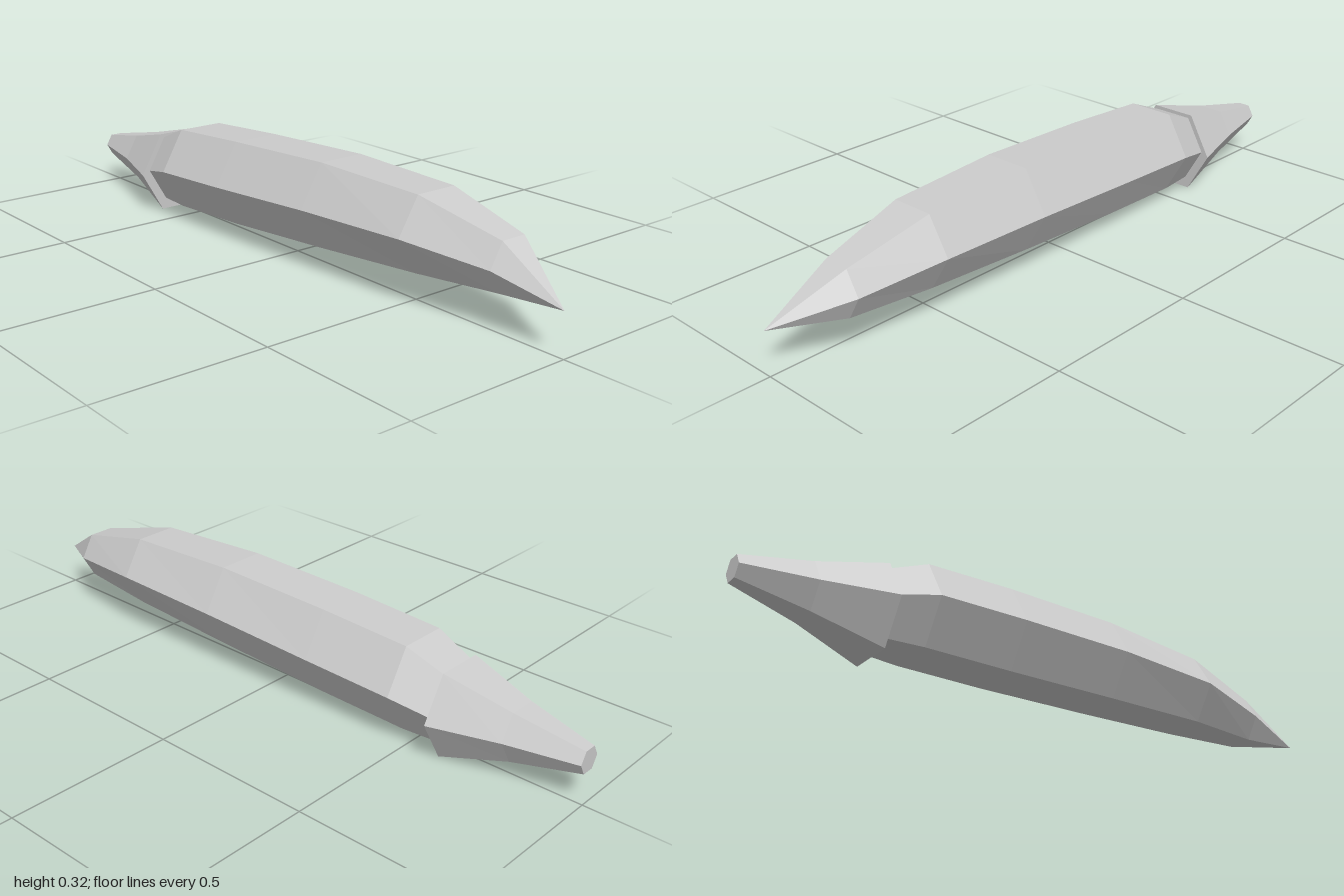
import * as THREE from 'three';

// Lofts six-sided sections along x; each section is [x, centreY, halfHeight, centreZ, halfWidth]
function hexLoft(sections) {
  const rings = sections.map(([x, cy, h, cz, w]) =>
    Array.from({ length: 6 }, (_, i) => {
      const a = (i * Math.PI) / 3;
      return [x, cy + (h * Math.sin(a)) / Math.sin(Math.PI / 3), cz + w * Math.cos(a)];
    }));
  const pos = [];
  const tri = (...corners) => corners.forEach((c) => pos.push(...c));
  const last = rings.length - 1;
  for (let i = 0; i < 6; i++) {
    const j = (i + 1) % 6;
    for (let k = 0; k < last; k++) {
      const a = rings[k], b = rings[k + 1];
      tri(a[i], b[i], a[j]);
      if (sections[k + 1][4] > 0) tri(a[j], b[i], b[j]);
    }
    // End caps (none on a pointed end)
    const [x0, y0, , z0] = sections[0];
    tri([x0, y0, z0], rings[0][i], rings[0][j]);
    const [x1, y1, , z1, w1] = sections[last];
    if (w1 > 0) tri([x1, y1, z1], rings[last][j], rings[last][i]);
  }
  const geo = new THREE.BufferGeometry();
  geo.setAttribute('position', new THREE.Float32BufferAttribute(pos, 3));
  geo.computeVertexNormals();
  return geo;
}

export function createModel() {
  const group = new THREE.Group();
  const grey = new THREE.MeshStandardMaterial({ color: 0xcccccc, flatShading: true });
  grey.name = 'light grey';

  const add = (name, sections) => {
    const mesh = new THREE.Mesh(hexLoft(sections), grey);
    mesh.name = name;
    group.add(mesh);
  };

  // Flared stem behind the body
  add('stem', [
    [-1, 0.13, 0.033, 0.008, 0.038],
    [-0.8, 0.13, 0.072, 0.007, 0.083],
    [-0.6, 0.126, 0.125, 0.01, 0.143],
  ]);

  // Curved body running to a point
  add('body', [
    [-0.6, 0.138, 0.102, 0.009, 0.118],
    [-0.48, 0.164, 0.125, 0.008, 0.145],
    [-0.2, 0.178, 0.128, 0.002, 0.148],
    [0.18, 0.197, 0.124, -0.01, 0.145],
    [0.54, 0.203, 0.107, -0.022, 0.131],
    [0.8, 0.178, 0.069, -0.031, 0.08],
    [1, 0.127, 0, 0.008, 0],
  ]);
  return group;
}
